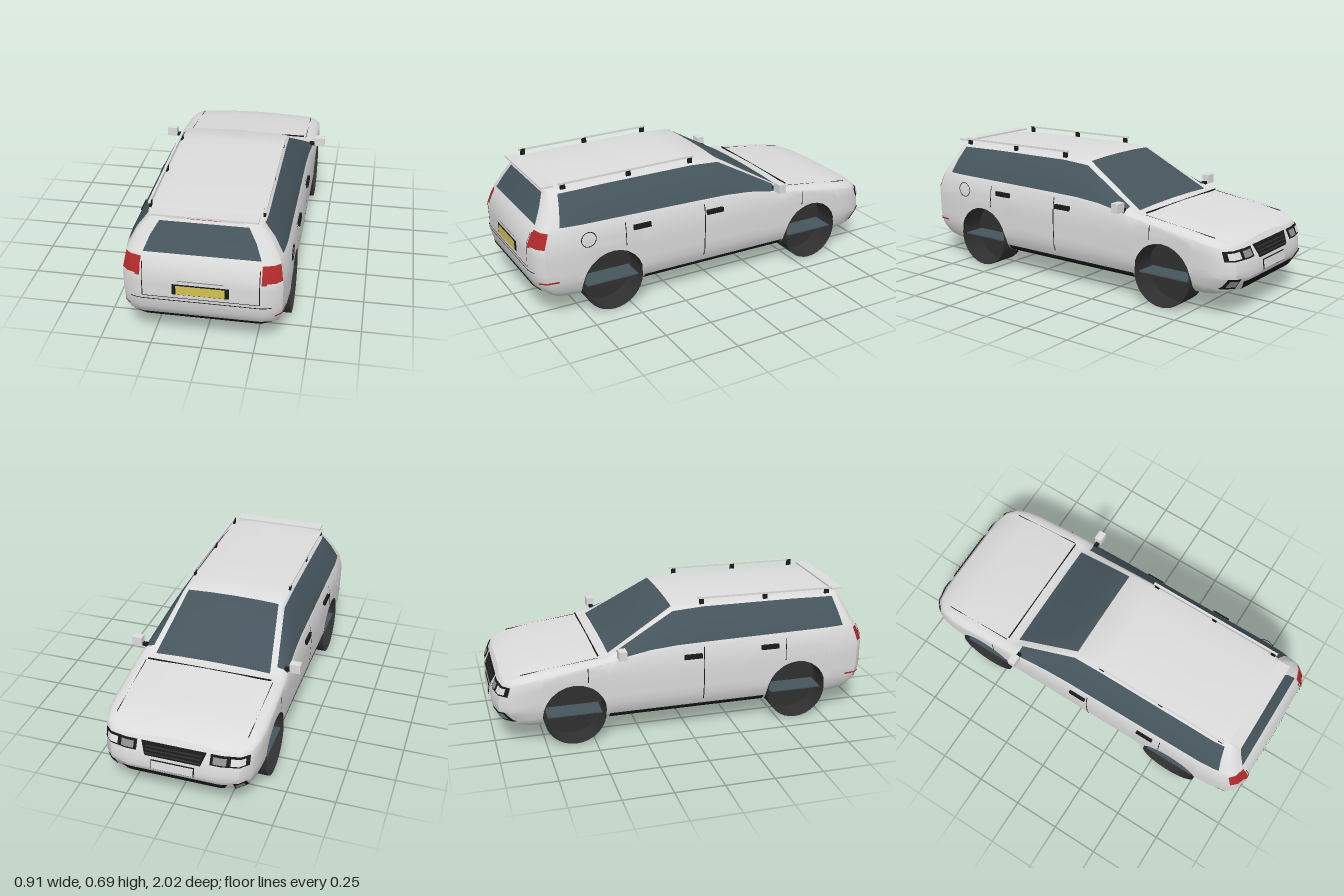
import * as THREE from 'three';
import { toCreasedNormals } from 'three/addons/utils/BufferGeometryUtils.js';

const mat = (name, color) => new THREE.MeshStandardMaterial({ name, color, side: THREE.DoubleSide });

// piecewise linear curve through [key, value] pairs, clamped at the ends
function curve(pairs) {
  return (t) => {
    if (t <= pairs[0][0]) return pairs[0][1];
    for (let i = 1; i < pairs.length; i++) {
      const [a, va] = pairs[i - 1], [b, vb] = pairs[i];
      if (t <= b) return va + ((vb - va) * (t - a)) / (b - a);
    }
    return pairs[pairs.length - 1][1];
  };
}

// body outlines: the tail is at +z, the bonnet at -z
const BOTTOM = 0.095, AXLE = 0.6, ARCH = 0.165;
const width = curve([[0.09, 0.3], [0.1, 0.335], [0.13, 0.37], [0.2, 0.395], [0.35, 0.4], [0.42, 0.396], [0.48, 0.383]]);
const top = curve([[-1, 0.36], [-0.9, 0.39], [-0.7, 0.42], [-0.5, 0.445], [-0.41, 0.455], [-0.06, 0.655], [0.1, 0.666], [0.6, 0.662], [1, 0.65]]);
const shoulder = curve([[-1, 0.335], [-0.85, 0.36], [-0.41, 0.43], [-0.2, 0.455], [1, 0.475]]);
const roofEdge = curve([[0.36, 0.35], [0.455, 0.335], [0.655, 0.272]]);
const tailReach = curve([[0.09, 0.86], [0.13, 0.93], [0.18, 0.98], [0.25, 1], [0.4, 1], [0.46, 0.975], [0.5, 0.95], [0.64, 0.88]]);
const noseReach = curve([[0.09, 0.86], [0.13, 0.96], [0.2, 1], [0.28, 0.99], [0.36, 0.95]]);
const nosePlan = [[0.6, -1], [0.82, -0.98], [0.93, -0.93], [0.98, -0.85], [1, -0.75]];
const tailPlan = [[0.74, 1], [0.88, 0.98], [0.95, 0.95], [0.985, 0.85], [1, 0.75]];
const plan = curve([...nosePlan, ...[...tailPlan].reverse()].map(([f, z]) => [z, f]));
const noseInverse = curve(nosePlan), tailInverse = curve(tailPlan);

// leans the two ends of the body according to height
function lean(z, y) {
  const d = Math.abs(z) - 0.78;
  if (d <= 0) return z;
  const reach = z > 0 ? tailReach(y) : noseReach(y);
  return Math.sign(z) * (0.78 + (d * (reach - 0.78)) / 0.22);
}

const SIDE = [0, 0.04, 0.08, 0.14, 0.22, 0.3, 0.42, 0.55, 0.68, 0.8, 1];
const FIRST = 3, BELT = FIRST + SIDE.length - 1; // row numbers

// half cross-section from the middle of the floor round to the middle of the roof
function section(z) {
  const d = Math.abs(Math.abs(z) - AXLE);
  const low = d <= ARCH + 1e-6 ? 0.16 + Math.sqrt(Math.max(0, ARCH * ARCH - d * d)) : BOTTOM;
  const ys = shoulder(z), t = top(z), ex = roofEdge(t), sx = width(ys), ey = t - 0.012;
  const pts = [[0, BOTTOM], [0.24, BOTTOM], [0.24, low]];
  for (const f of SIDE) {
    const y = low + (ys - low) * f;
    pts.push([width(y), y]);
  }
  for (const f of [0.1, 0.5, 0.92, 1]) {
    const bulge = 0.03 * f * (1 - f);
    pts.push([sx + (ex - sx) * f + bulge, ys + (ey - ys) * f + bulge]);
  }
  pts.push([ex * 0.92, t - 0.008], [ex * 0.5, t - 0.002], [0, t]);
  return pts.map(([x, y]) => [x * plan(z), y, lean(z, y)]);
}

function bodyGeometry() {
  const zs = [-1, -0.98, -0.93, -0.85, -0.8, -0.5, -0.41, -0.37, -0.3, -0.2, -0.06, 0.1, 0.3, 0.8, 0.85, 0.885, 0.92, 0.95, 0.98, 1];
  for (const c of [-AXLE, AXLE])
    for (const d of [0, 0.04, 0.08, 0.12, 0.145, 0.158, 0.165, 0.1652]) zs.push(c - d, c + d);
  const stations = [...new Set(zs)].sort((a, b) => a - b);
  const rings = stations.map(section);
  const lists = [[], [], [], []]; // paint, glass, red, rubber
  const tri = (list, a, b, c) => {
    const area = new THREE.Triangle(new THREE.Vector3(...a), new THREE.Vector3(...b), new THREE.Vector3(...c)).getArea();
    if (area > 1e-9) list.push(...a, ...b, ...c);
  };
  const quad = (list, a, b, c, d) => { tri(list, a, b, c); tri(list, a, c, d); };
  const flip = ([x, y, z]) => [-x, y, z];
  const isWindow = (k) => k === BELT + 1 || k === BELT + 2;
  for (let i = 0; i < rings.length - 1; i++) {
    const z = (stations[i] + stations[i + 1]) / 2;
    for (let k = 0; k < rings[0].length - 1; k++) {
      let m = 0;
      if (isWindow(k) && z > -0.39 && z < 0.885) m = 1;
      if (k >= BELT + 5 && z > -0.41 && z < -0.06) m = 1;
      if (k === BELT - 1 && z > 0.95) m = 2;
      if ((k === 1 || k === 2) && Math.abs(Math.abs(z) - AXLE) < 0.1652) m = 3;
      const a = rings[i][k], b = rings[i + 1][k], c = rings[i + 1][k + 1], d = rings[i][k + 1];
      quad(lists[m], a, d, c, b);
      quad(lists[m], flip(a), flip(b), flip(c), flip(d));
    }
  }
  // closing faces at nose and tail
  const nose = rings[0], tail = rings[rings.length - 1];
  for (let k = 0; k < nose.length - 1; k++) {
    quad(lists[0], nose[k], flip(nose[k]), flip(nose[k + 1]), nose[k + 1]);
    quad(lists[isWindow(k) ? 1 : 0], tail[k], tail[k + 1], flip(tail[k + 1]), flip(tail[k]));
  }
  const g = new THREE.BufferGeometry();
  g.setAttribute('position', new THREE.Float32BufferAttribute(lists.flat(), 3));
  let start = 0;
  lists.forEach((l, i) => { g.addGroup(start, l.length / 3, i); start += l.length / 3; });
  return toCreasedNormals(g, 0.6);
}

// thin sheet following the rule at(u, v) -> [x, y, z], u and v from 0 to 1
function sheet(at, nu, nv) {
  const g = new THREE.PlaneGeometry(1, 1, nu, nv), p = g.attributes.position;
  for (let i = 0; i < p.count; i++) p.setXYZ(i, ...at(p.getX(i) + 0.5, p.getY(i) + 0.5));
  g.computeVertexNormals();
  return g;
}

export function createModel() {
  const car = new THREE.Group();
  car.name = 'estateCar';
  const paint = mat('paint', 0xdcdcdc), glass = mat('glass', 0x46555d), red = mat('red', 0xb02a2a);
  const rubber = mat('rubber', 0x303030), black = mat('black', 0x1a1a1a), yellow = mat('yellow', 0xd2c050);
  const grey = mat('grey', 0x8c8f92);

  const add = (name, geo, m, x = 0, y = 0, z = 0) => {
    const mesh = new THREE.Mesh(geo, m);
    mesh.name = name;
    mesh.position.set(x, y, z);
    car.add(mesh);
    return mesh;
  };
  const box = (name, m, w, h, d, x, y, z) => add(name, new THREE.BoxGeometry(w, h, d), m, x, y, z);

  // sheet on the nose (end -1) or tail (end 1); taper narrows its lower edge
  const onEnd = (name, m, end, x0, x1, y0, y1, lift = 0.006, taper = 1) =>
    add(name, sheet((u, v) => {
      const x = (x0 + (x1 - x0) * u) * (taper + (1 - taper) * v), y = y0 + (y1 - y0) * v;
      const z = (end > 0 ? tailInverse : noseInverse)(Math.abs(x) / width(y));
      return [x, y, lean(z, y) + end * lift];
    }, 24, 4), m);
  // sheet on a body side
  const onSide = (name, m, s, z0, z1, y0, y1) =>
    add(name, sheet((u, v) => {
      const z = z0 + (z1 - z0) * u, y = y0 + (y1 - y0) * v;
      return [s * (width(y) * plan(z) + 0.004), y, z];
    }, 4, 8), m);

  add('body', bodyGeometry(), [paint, glass, red, rubber]);

  for (const s of [-1, 1]) {
    // wheels: open drums with an inner disc and a cross plate
    for (const z of [-AXLE, AXLE]) {
      add('wheel', new THREE.CylinderGeometry(0.16, 0.16, 0.15, 32, 1, true).rotateZ(Math.PI / 2), rubber, s * 0.321, 0.16, z);
      add('wheelDisc', new THREE.CircleGeometry(0.16, 32).rotateY(s * Math.PI / 2), rubber, s * 0.262, 0.16, z);
      box('wheelPlate', glass, 0.12, 0.006, 0.28, s * 0.325, 0.157, z);
    }
    // side trim
    onSide('sill', black, s, -0.42, 0.42, 0.11, 0.14);
    onSide('frontDoorSeam', black, s, 0.077, 0.082, 0.17, 0.46);
    onSide('rearDoorSeam', black, s, 0.528, 0.532, 0.34, 0.46);
    onSide('wingSeam', black, s, -0.532, -0.528, 0.335, 0.41);
    for (const z of [0.02, 0.44]) box('doorHandle', black, 0.014, 0.024, 0.095, s * 0.4, z < 0.1 ? 0.415 : 0.425, z);
    // mirrors
    box('mirror', paint, 0.055, 0.048, 0.04, s * 0.428, 0.477, -0.36);
    box('mirrorStalk', black, 0.04, 0.016, 0.02, s * 0.392, 0.458, -0.36);
    // roof rails
    const rail = box('roofRail', paint, 0.012, 0.01, 0.74, s * 0.272, 0.681, 0.45);
    rail.rotation.x = 0.012;
    for (const z of [0.1, 0.45, 0.8]) box('railFoot', black, 0.01, 0.034, 0.025, s * 0.27, 0.664, z);
    // bonnet edge seam
    const seam = new THREE.LineCurve3(new THREE.Vector3(s * 0.34, 0.437, -0.47), new THREE.Vector3(s * 0.335, 0.385, -0.86));
    add('bonnetSeam', new THREE.TubeGeometry(seam, 1, 0.002, 4), black);
    // lamps and seams at the two ends
    onEnd('reflector', red, 1, s * 0.345, s * 0.385, 0.211, 0.22);
    onEnd('tailgateSeam', black, 1, s * 0.275, s * 0.279, 0.285, 0.46);
    onEnd('tailLampInner', red, 1, s * 0.286, s * 0.31, 0.395, 0.468);
    onEnd('headlamp', black, -1, s * 0.185, s * 0.365, 0.285, 0.334);
    onEnd('headlampLens', grey, -1, s * 0.2, s * 0.265, 0.293, 0.325, 0.01);
    onEnd('headlampLens', paint, -1, s * 0.285, s * 0.35, 0.293, 0.325, 0.01);
    onEnd('fogLampFrame', black, -1, s * 0.3, s * 0.355, 0.145, 0.2);
    onEnd('fogLamp', grey, -1, s * 0.31, s * 0.345, 0.155, 0.19, 0.01);
  }

  // fuel flap outline
  add('fuelFlap', new THREE.TorusGeometry(0.039, 0.002, 4, 28).rotateY(Math.PI / 2), black, 0.4, 0.415, 0.73);

  // tail details
  box('spoiler', paint, 0.51, 0.009, 0.065, 0, 0.663, 0.872);
  box('highBrakeLamp', red, 0.155, 0.007, 0.008, 0, 0.65, 0.884);
  onEnd('plateFrame', black, 1, -0.135, 0.135, 0.303, 0.36);
  onEnd('rearPlate', yellow, 1, -0.116, 0.116, 0.307, 0.355, 0.01);
  onEnd('tailgateGrip', grey, 1, -0.11, 0.11, 0.376, 0.381);
  onEnd('tailgateLowerSeam', black, 1, -0.275, 0.275, 0.283, 0.286);
  onEnd('bumperSeam', black, 1, -0.335, 0.335, 0.266, 0.27);
  onEnd('rearValance', black, 1, -0.335, 0.335, 0.13, 0.178, 0.007, 0.83);
  onEnd('rearFogLamp', red, 1, -0.26, -0.23, 0.151, 0.157, 0.012);

  // nose details
  onEnd('grille', black, -1, -0.165, 0.165, 0.268, 0.334, 0.006, 0.85);
  for (let i = 0; i < 3; i++) onEnd('grilleBar', rubber, -1, -0.14, 0.14, 0.28 + i * 0.016, 0.286 + i * 0.016, 0.01);
  onEnd('frontPlateFrame', black, -1, -0.11, 0.11, 0.2, 0.252);
  onEnd('frontPlate', paint, -1, -0.106, 0.106, 0.204, 0.248, 0.01);
  onEnd('lowerIntake', black, -1, -0.27, 0.27, 0.125, 0.178, 0.007, 0.9);
  box('bonnetRearSeam', black, 0.66, 0.006, 0.006, 0, 0.446, -0.465);

  return car;
}
